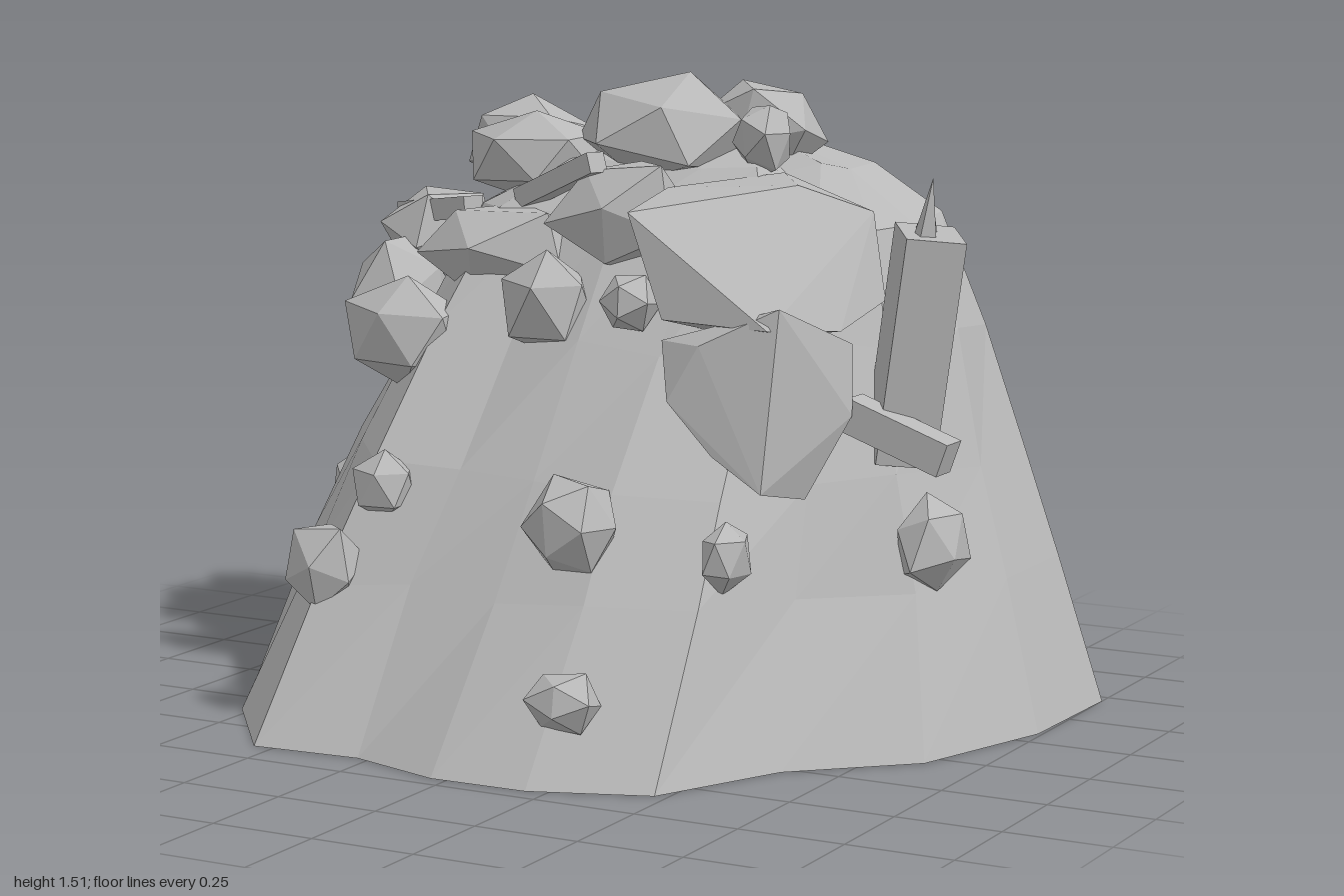
import * as THREE from 'three';
import { ConvexGeometry } from 'three/addons/geometries/ConvexGeometry.js';

const stone = new THREE.MeshStandardMaterial({ color: 0xb8b8b8 });
stone.name = 'grey stone';

// Repeatable value in -1..1
const noise = (a, b, c) => {
  const s = Math.sin(a * 12.99 + b * 78.23 + c * 37.72) * 43758.55;
  return 2 * (s - Math.floor(s)) - 1;
};

// Hillside: shrinking contours stacked up against a flat vertical back
function moundGeometry() {
  const back = -0.71;
  const outline = [[-1, -0.71], [-0.97, -0.33], [-0.95, 0.04], [-0.78, 0.36], [-0.55, 0.65], [-0.28, 0.63],
    [-0.04, 0.705], [0.2, 0.7], [0.47, 0.6], [0.62, 0.28], [0.87, 0.05], [0.99, -0.33], [1, -0.71]];
  // height, left half-width, right half-width, depth
  const levels = [[0, 1, 1, 1], [0.35, 0.89, 0.88, 0.82], [0.6, 0.81, 0.79, 0.69], [0.9, 0.7, 0.68, 0.53],
    [1.17, 0.59, 0.56, 0.39], [1.28, 0.39, 0.38, 0.29], [1.37, 0.04, 0.03, 0.08]];
  const last = outline.length - 1;
  const rings = levels.map(([y, left, right, depth], i) => outline.map(([x, z], j) => {
    const s = x < 0 ? left : right;
    const inner = i > 0 && i < 6 && j > 0 && j < last ? 0.02 : 0;
    return [
      s * x * (1 + (1 - s) * (1 - Math.abs(x))) + inner * noise(i, j, 1),
      y + inner * noise(i, j, 2),
      back + (z - back) * depth + inner * noise(i, j, 3),
    ];
  }));
  const out = [];
  const tri = (...p) => p.forEach((v) => out.push(...v));
  const quad = (a, b, c, d) => { tri(a, b, c); tri(a, c, d); };
  for (let i = 0; i < rings.length - 1; i++) {
    const lo = rings[i], hi = rings[i + 1];
    for (let j = 0; j < last; j++) quad(lo[j], lo[j + 1], hi[j + 1], hi[j]);
    quad(lo[last], lo[0], hi[0], hi[last]);
  }
  const top = rings[rings.length - 1], base = rings[0];
  for (let j = 1; j < last; j++) tri(top[0], top[j], top[j + 1]);
  // Bottom fan from the middle of the back edge
  for (let j = 0; j < last; j++) tri([0, 0, back], base[j + 1], base[j]);
  const g = new THREE.BufferGeometry();
  g.setAttribute('position', new THREE.Float32BufferAttribute(out, 3));
  g.computeVertexNormals();
  return g;
}

// Faceted boulder with uneven corners
function rockGeometry(rx, ry, rz, seed) {
  const g = new THREE.IcosahedronGeometry(1, 0);
  g.rotateX(seed * 1.3);
  g.rotateY(seed * 2.1);
  const p = g.attributes.position;
  for (let i = 0; i < p.count; i++) {
    const key = [p.getX(i), p.getY(i), p.getZ(i)].map((v) => Math.round(v * 100));
    const k = 1.06 + 0.14 * noise(...key);
    p.setXYZ(i, p.getX(i) * rx * k, p.getY(i) * ry * k, p.getZ(i) * rz * k);
  }
  g.computeVertexNormals();
  return g;
}

const hull = (points) => new ConvexGeometry(points.map((p) => new THREE.Vector3(...p)));

export function createModel() {
  const group = new THREE.Group();
  const add = (name, geometry, x = 0, y = 0, z = 0) => {
    const m = new THREE.Mesh(geometry, stone);
    m.name = name;
    m.position.set(x, y, z);
    group.add(m);
    return m;
  };

  add('hillside', moundGeometry());

  // Large slab and the block beneath it
  add('upperSlab', hull([[0.07, 1.2, -0.06], [0.13, 1.22, 0.1], [0.13, 1.26, -0.1], [0.3, 1.28, -0.37], [0.42, 1.27, -0.2],
    [0.54, 1.2, -0.36], [0.6, 1.0, -0.3], [0.58, 0.95, -0.1], [0.5, 0.97, 0.12], [0.23, 0.98, 0.12], [0.3, 0.9, -0.2]]));
  add('lowerBlock', hull([[0.22, 0.93, 0.1], [0.34, 0.93, 0.15], [0.52, 1.02, 0.1], [0.6, 0.92, -0.12], [0.62, 0.76, -0.08],
    [0.54, 0.57, 0.0], [0.5, 0.6, 0.15], [0.38, 0.68, 0.16], [0.27, 0.8, 0.17], [0.3, 0.85, -0.15], [0.5, 0.65, -0.15]]));

  // Boulders heaped over the crest: position, radii
  [
    [-0.04, 1.37, -0.4, 0.22, 0.13, 0.18], [0.15, 1.37, -0.55, 0.16, 0.12, 0.12],
    [-0.53, 1.29, -0.59, 0.18, 0.12, 0.1], [-0.37, 1.29, -0.38, 0.19, 0.11, 0.13],
    [-0.38, 1.08, -0.18, 0.23, 0.12, 0.14], [-0.74, 0.92, -0.31, 0.14, 0.17, 0.15],
    [-0.7, 1.07, -0.46, 0.14, 0.12, 0.14], [-0.53, 0.88, 0.0, 0.16, 0.13, 0.1],
    [-0.15, 0.98, -0.03, 0.12, 0.12, 0.09], [-0.02, 1.18, -0.15, 0.18, 0.14, 0.13],
    [0.24, 1.36, -0.38, 0.07, 0.09, 0.08], [0.09, 1.0, 0.02, 0.07, 0.07, 0.07],
  ].forEach(([x, y, z, ...r], i) => add('crestBoulder', rockGeometry(...r, i + 1), x, y, z));

  // Loose stones down the slope
  [
    [-0.86, 0.44, -0.3, 0.06, 0.08, 0.1], [-0.43, 0.56, 0.26, 0.08, 0.08, 0.07],
    [-0.53, 0.37, 0.38, 0.1, 0.11, 0.08], [0.14, 0.53, 0.37, 0.11, 0.12, 0.1],
    [0.23, 0.18, 0.59, 0.09, 0.07, 0.07], [0.47, 0.48, 0.27, 0.05, 0.08, 0.09],
    [0.78, 0.46, -0.18, 0.08, 0.11, 0.12],
  ].forEach(([x, y, z, ...r], i) => add('slopeStone', rockGeometry(...r, i + 20), x, y, z));

  // Leaning broken post with splinters on top
  const post = new THREE.Group();
  post.name = 'brokenPost';
  const part = (name, geometry, x, y, z) => {
    const m = new THREE.Mesh(geometry, stone);
    m.name = name;
    m.position.set(x, y, z);
    post.add(m);
    return m;
  };
  part('postShaft', new THREE.BoxGeometry(0.14, 0.54, 0.16), 0, 0, 0).rotation.y = 0.6;
  const spike = (r, h) => new THREE.ConeGeometry(r, h, 4).toNonIndexed();
  [[0, 0.14, 0.03], [-0.02, 0.1, -0.02]].forEach(([x, h, z]) => {
    const g = spike(0.028, h);
    g.computeVertexNormals();
    part('splinter', g, x, 0.265 + h / 2, z);
  });
  post.position.set(0.71, 0.91, -0.225);
  post.rotation.set(0.06, 0, -0.16);
  group.add(post);

  // Fallen beams between two end points
  [
    [[0.59, 0.76, -0.13], [0.84, 0.67, -0.13], 0.08],
    [[-0.81, 1.12, -0.46], [-0.53, 1.16, -0.32], 0.055],
    [[-0.33, 1.2, -0.22], [-0.06, 1.31, -0.1], 0.05],
  ].forEach(([from, to, size]) => {
    const a = new THREE.Vector3(...from), b = new THREE.Vector3(...to);
    const beam = add('fallenBeam', new THREE.BoxGeometry(size, size, a.distanceTo(b)));
    beam.position.copy(a).lerp(b, 0.5);
    beam.lookAt(b);
  });

  return group;
}
